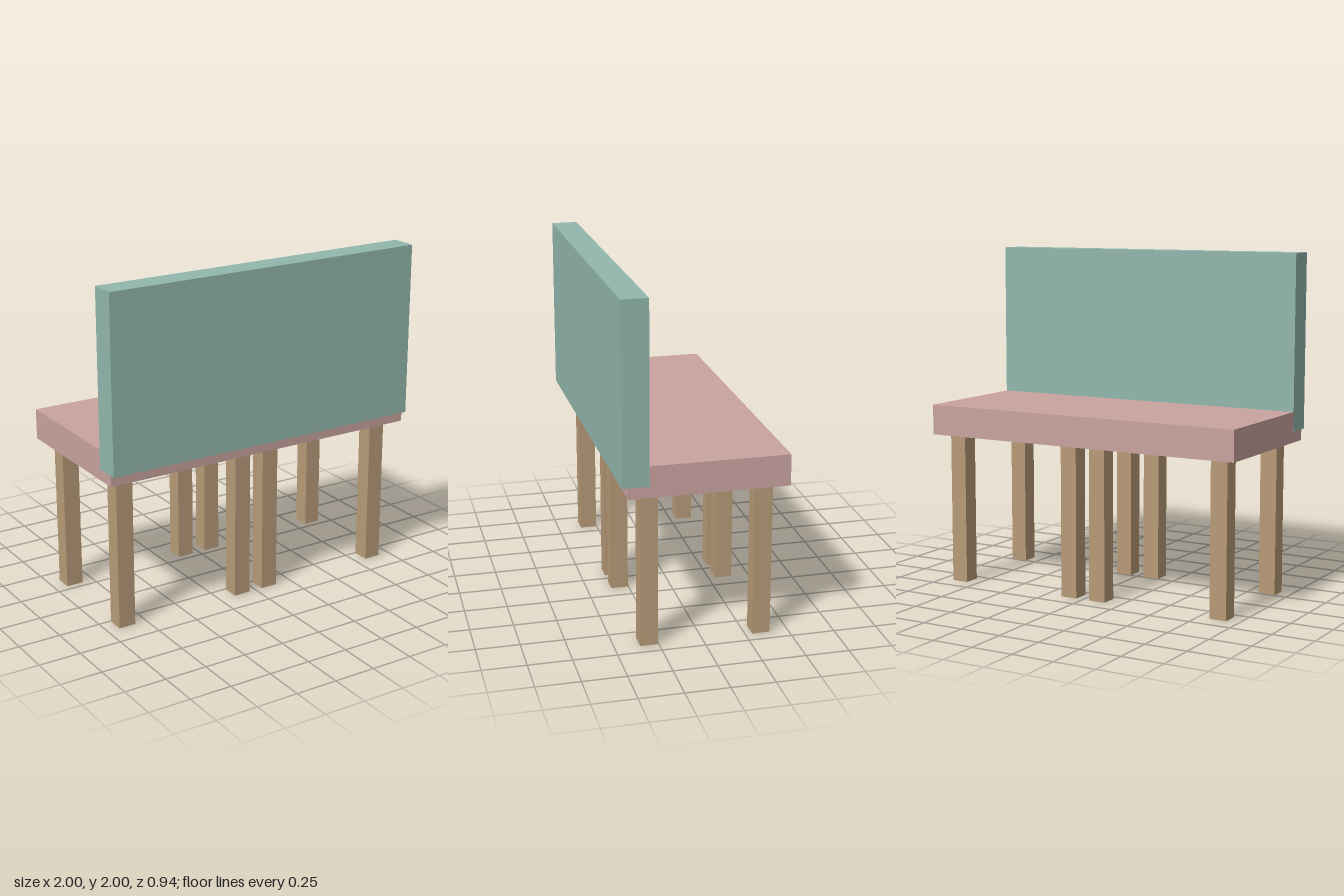
import * as THREE from 'three';

// Box given by its min/max extents on each axis
function block(name, color, [x0, x1], [y0, y1], [z0, z1]) {
  const mesh = new THREE.Mesh(
    new THREE.BoxGeometry(x1 - x0, y1 - y0, z1 - z0),
    new THREE.MeshStandardMaterial({ color })
  );
  mesh.position.set((x0 + x1) / 2, (y0 + y1) / 2, (z0 + z1) / 2);
  mesh.name = name;
  return mesh;
}

export function createModel() {
  const bench = new THREE.Group();
  bench.name = 'bench';

  // Seat slab, a hair narrower than the backrest so their ends do not coincide
  bench.add(block('seat', 0xcaa4a0, [-0.999, 0.999], [0.905, 1.085], [-0.47, 0.435]));

  // Upright backrest, notched over the seat's +z edge
  bench.add(block('backrest', 0x92b8ad, [-1, 1], [0.97, 2], [0.317, 0.47]));

  // Two sets of four square legs, side by side
  const legs = new THREE.Group();
  legs.name = 'legs';
  const half = 0.051;
  for (const x of [-0.874, -0.095, 0.095, 0.874]) {
    for (const z of [0.305, -0.342]) {
      legs.add(block('leg', 0xb89b78, [x - half, x + half], [0, 0.905], [z - half, z + half]));
    }
  }
  bench.add(legs);

  return bench;
}
